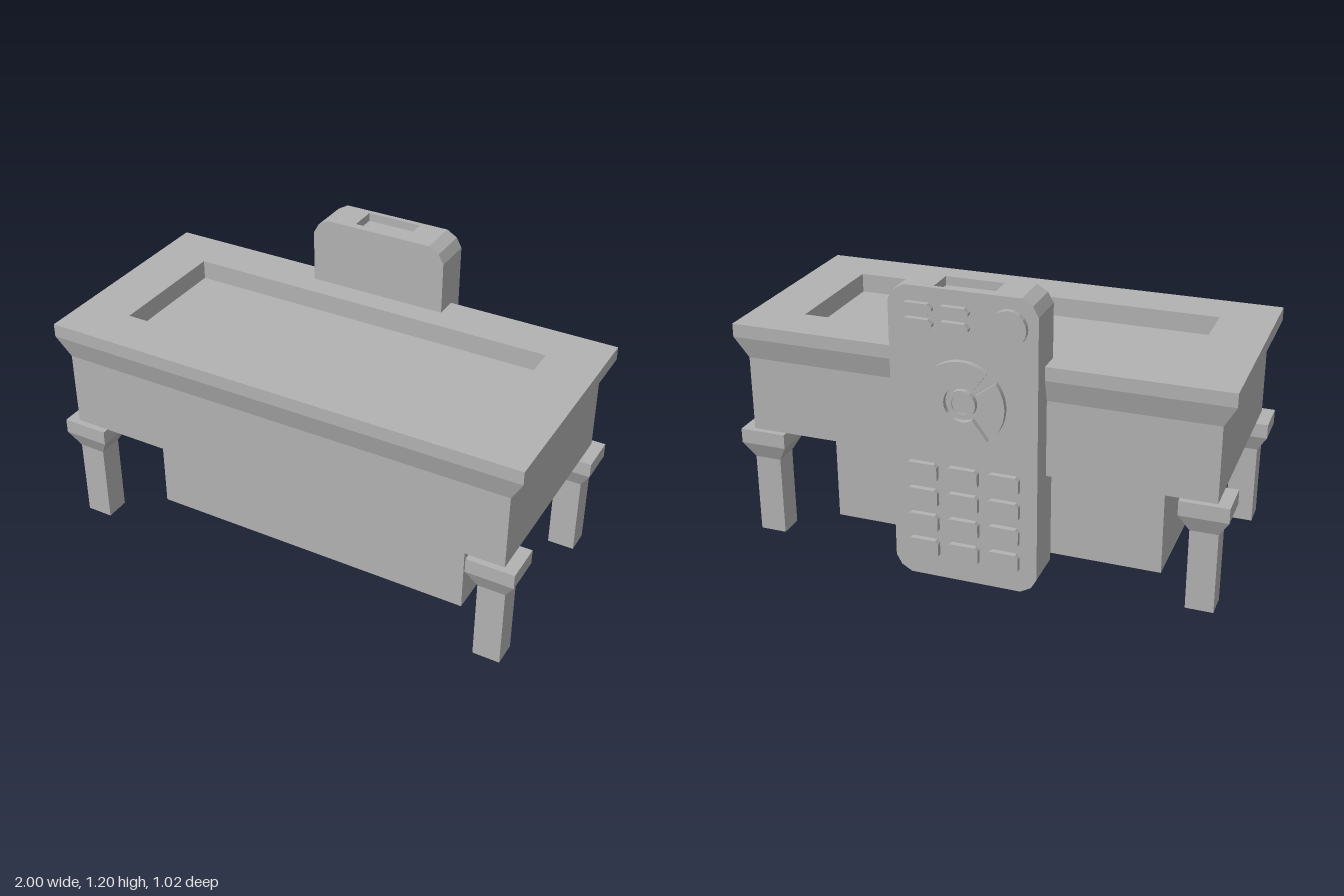
import * as THREE from 'three';

const plainGrey = new THREE.MeshStandardMaterial({ color: 0xb2b2b2, side: THREE.DoubleSide });
plainGrey.name = 'plainGrey';

// Flat-sided shell through rectangles [y, halfX, zBack, zFront], open below, closed at the last one
function shell(name, sections) {
  const rings = sections.map(([y, x, zb, zf]) => [[-x, y, zf], [x, y, zf], [x, y, zb], [-x, y, zb]]);
  const pos = [];
  const quad = (a, b, c, d) => pos.push(...a, ...b, ...c, ...a, ...c, ...d);
  for (let r = 0; r < rings.length - 1; r++) {
    for (let i = 0; i < 4; i++) {
      const j = (i + 1) % 4;
      quad(rings[r][i], rings[r][j], rings[r + 1][j], rings[r + 1][i]);
    }
  }
  quad(...rings[rings.length - 1]);
  const geo = new THREE.BufferGeometry();
  geo.setAttribute('position', new THREE.Float32BufferAttribute(pos, 3));
  geo.computeVertexNormals();
  const mesh = new THREE.Mesh(geo, plainGrey);
  mesh.name = name;
  return mesh;
}

// Raised button on the back of the handset
const BACK = -0.485, RAISE = 0.022;
function button(name, shape, x, y, raise = RAISE) {
  const geo = new THREE.ExtrudeGeometry(shape, { depth: raise, bevelEnabled: false, curveSegments: 10 });
  const mesh = new THREE.Mesh(geo, plainGrey);
  mesh.name = name;
  mesh.position.set(x, y, BACK - raise);
  return mesh;
}

// Rectangle with cut corners
function cutRect(w, h, c) {
  const x = w / 2, y = h / 2;
  return new THREE.Shape([
    [-x + c, -y], [x - c, -y], [x, -y + c], [x, y - c],
    [x - c, y], [-x + c, y], [-x, y - c], [-x, -y + c],
  ].map(([a, b]) => new THREE.Vector2(a, b)));
}

function disc(r, hole = 0) {
  const s = new THREE.Shape().absarc(0, 0, r, 0, Math.PI * 2);
  if (hole) s.holes.push(new THREE.Path().absarc(0, 0, hole, 0, Math.PI * 2, true));
  return s;
}

// Quarter of the direction pad
function fan(angle) {
  const half = 0.645, s = new THREE.Shape();
  s.absarc(0, 0, 0.17, angle - half, angle + half, false);
  s.absarc(0, 0, 0.07, angle + half, angle - half, true);
  s.closePath();
  return s;
}

export function createModel() {
  const model = new THREE.Group();
  model.name = 'table';

  // Table top: apron, flared rim and sunken tray
  model.add(shell('tableTop', [
    [0.465, 0.95, -0.385, 0.485],
    [0.775, 0.95, -0.385, 0.485],
    [0.865, 1.0, -0.41, 0.51],
    [0.92, 1.0, -0.41, 0.51],
    [0.92, 0.78, -0.22, 0.31],
    [0.84, 0.78, -0.22, 0.31],
  ]));

  // Central box under the table
  model.add(shell('lowerBox', [[0, 0.703, -0.165, 0.268], [0.465, 0.703, -0.165, 0.268]]));

  // Four legs with flared heads
  for (const sx of [-1, 1]) {
    for (const [label, z] of [['front', 0.43], ['back', -0.328]]) {
      const leg = shell(label + 'Leg', [
        [0, 0.055, -0.051, 0.051],
        [0.335, 0.055, -0.051, 0.051],
        [0.405, 0.096, -0.081, 0.081],
        [0.465, 0.096, -0.081, 0.081],
      ]);
      leg.position.set(sx * 0.904, 0, z);
      model.add(leg);
    }
  }

  // Handset standing against the back
  const handset = new THREE.Group();
  handset.name = 'handset';
  const front = -0.318;
  handset.add(shell('handsetBody', [
    [0, 0.227, BACK, front],
    [0.025, 0.27, BACK, front],
    [0.065, 0.292, BACK, front],
    [1.135, 0.292, BACK, front],
    [1.175, 0.27, BACK, front],
    [1.2, 0.227, BACK, front],
    [1.2, 0.115, -0.465, -0.35],
    [1.165, 0.115, -0.465, -0.35],
  ]));

  // Keypad of three columns and four rows
  for (let row = 0; row < 4; row++) {
    for (let col = 0; col < 3; col++) {
      handset.add(button('key', cutRect(0.125, 0.077, 0.012), 0.167 - col * 0.164, 0.128 + row * 0.11));
    }
  }

  // Direction pad
  for (let i = 0; i < 4; i++) {
    handset.add(button('padFan', fan(i * Math.PI / 2), 0, 0.765));
  }
  handset.add(button('padRing', disc(0.056, 0.038), 0, 0.765));
  handset.add(button('padCentre', disc(0.038), 0, 0.765, 0.016));

  // Small pill buttons and the round power button
  for (const x of [0.172, 0.03]) {
    for (const y of [1.06, 1.12]) {
      handset.add(button('pillButton', cutRect(0.122, 0.042, 0.016), x, y));
    }
  }
  handset.add(button('roundButton', disc(0.07), -0.183, 1.085));
  model.add(handset);

  return model;
}
